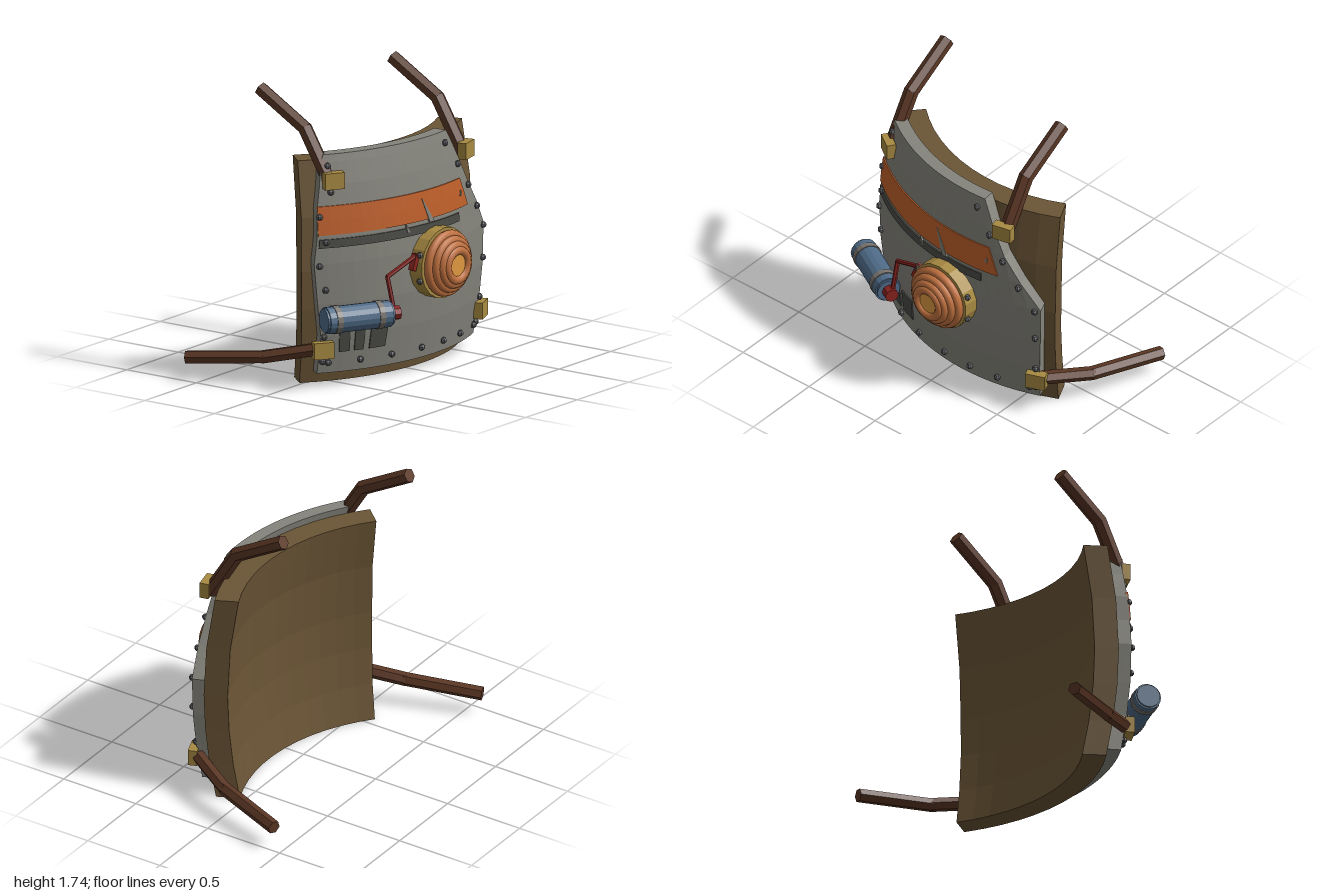
import * as THREE from 'three';

const V = (x, y, z) => new THREE.Vector3(x, y, z);
const paint = (color, side = THREE.FrontSide) =>
  new THREE.MeshStandardMaterial({ color, flatShading: true, side });
const MAT = {
  padding: paint(0x6b5536), plate: paint(0x85847c), stripe: paint(0xc0602a), dark: paint(0x4a4a46),
  strap: paint(0x5a3624), gold: paint(0xa88a42), copper: paint(0xc0713f), lens: paint(0xe09a40),
  blue: paint(0x4f6b88), band: paint(0x77726c), red: paint(0x8a2420), rivet: paint(0x55565a),
};
MAT.copper.flatShading = false;

// The breastplate wraps a vertical axis and bulges slightly at mid height.
const AXIS_X = 0.15, AXIS_Z = -0.94, PLATE = 0.08;
const radius = y => 1.29 - 0.072 * ((y - 0.68) / 0.68) ** 2;
const angleAt = (x, y, out) => Math.asin((x - AXIS_X) / (radius(y) + out));
const onShell = (a, y, out) =>
  V(AXIS_X + (radius(y) + out) * Math.sin(a), y, AXIS_Z + (radius(y) + out) * Math.cos(a));

// Curved slab from rows of [y, left x, right x], between two radial offsets.
function panel(rows, inner, outer, cols) {
  const pos = [];
  const point = (i, j, out) => {
    const [y, x0, x1] = rows[i];
    const a0 = angleAt(x0, y, outer), a1 = angleAt(x1, y, outer);
    return onShell(a0 + (a1 - a0) * j / cols, y, out);
  };
  const F = (i, j) => point(i, j, outer), B = (i, j) => point(i, j, inner);
  const quad = (a, b, c, d) => [a, b, c, a, c, d].forEach(p => pos.push(p.x, p.y, p.z));
  const last = rows.length - 1;
  for (let i = 0; i < last; i++) {
    for (let j = 0; j < cols; j++) {
      quad(F(i, j), F(i, j + 1), F(i + 1, j + 1), F(i + 1, j));
      quad(B(i, j + 1), B(i, j), B(i + 1, j), B(i + 1, j + 1));
    }
    quad(F(i, cols), B(i, cols), B(i + 1, cols), F(i + 1, cols));
    quad(B(i, 0), F(i, 0), F(i + 1, 0), B(i + 1, 0));
  }
  for (let j = 0; j < cols; j++) {
    quad(B(0, j), B(0, j + 1), F(0, j + 1), F(0, j));
    quad(F(last, j), F(last, j + 1), B(last, j + 1), B(last, j));
  }
  const geo = new THREE.BufferGeometry();
  geo.setAttribute('position', new THREE.Float32BufferAttribute(pos, 3));
  geo.computeVertexNormals();
  return geo;
}

// Faceted bar through a list of points.
function bar(points, r, sides, mat, name) {
  const group = new THREE.Group();
  group.name = name;
  for (let i = 0; i < points.length - 1; i++) {
    const dir = points[i + 1].clone().sub(points[i]);
    const mesh = new THREE.Mesh(new THREE.CylinderGeometry(r, r, dir.length() + r * 0.4, sides), mat);
    mesh.name = name + 'Segment';
    mesh.position.copy(points[i]).addScaledVector(dir, 0.5);
    mesh.quaternion.setFromUnitVectors(V(0, 1, 0), dir.normalize());
    group.add(mesh);
  }
  return group;
}

export function createModel() {
  const model = new THREE.Group();
  model.name = 'chestArmor';
  const add = (name, geo, mat, parent = model) => {
    const mesh = new THREE.Mesh(geo, mat);
    mesh.name = name;
    parent.add(mesh);
    return mesh;
  };
  const place = (mesh, x, y, out) => {
    const a = angleAt(x, y, out);
    mesh.position.copy(onShell(a, y, out));
    mesh.rotation.y = a;
    return mesh;
  };

  // Leather backing and metal plate
  add('padding', panel([[0, -0.647, 0.677], [0.22, -0.67, 0.69], [0.45, -0.69, 0.7], [0.68, -0.697, 0.707],
    [1, -0.685, 0.702], [1.33, -0.66, 0.69]], -0.14, 0, 12), MAT.padding);
  add('metalPlate', panel([[0.075, -0.645, 0.64], [0.3, -0.655, 0.66], [0.5, -0.685, 0.675], [0.74, -0.705, 0.68],
    [0.9, -0.685, 0.56], [1.05, -0.675, 0.45], [1.2, -0.645, 0.37], [1.33, -0.62, 0.305], [1.375, -0.6, 0.28]],
    0.002, PLATE, 18), MAT.plate);

  // Painted stripe, groove, worn patches and scratches
  const top = PLATE + 0.007;
  add('paintedStripe', panel([[0.91, -0.685, 0.42], [0.995, -0.682, 0.385], [1.08, -0.675, 0.35]], PLATE - 0.01, top, 16), MAT.stripe);
  add('darkGroove', panel([[0.835, -0.685, 0.31], [0.885, -0.68, 0.31]], PLATE - 0.01, top, 16), MAT.dark);
  [[-0.57, -0.5], [-0.48, -0.42], [-0.385, -0.285]].forEach(([a, b], i) =>
    add('wornPatch', panel([[0.2, a + 0.015 * (1 - i / 2), b], [0.355, a, b - 0.01 * (1 - i)]], PLATE - 0.01, top, 2), MAT.dark));
  [[0.89, 0.02, 0.06, 1.04, -0.035], [0.86, -0.16, -0.14, 0.91, -0.17], [0.98, 0.33, 0.35, 1.01, 0.34]]
    .forEach(([y0, a, b, y1, tip]) =>
      add('scratch', panel([[y0, a, b], [y1, tip, tip + 0.004]], PLATE - 0.01, top + 0.004, 1), MAT.plate));

  // Rivets around the rim
  const rivet = new THREE.SphereGeometry(0.02, 7, 5);
  [[-0.605, 0.14], [-0.43, 0.14], [-0.23, 0.14], [0, 0.14], [0.2, 0.14], [0.39, 0.14], [0.59, 0.14], [0.625, 0.15],
    [-0.635, 0.15], [-0.645, 0.3], [-0.655, 0.585], [-0.685, 0.73], [-0.65, 0.87], [-0.67, 1.02], [-0.6, 1.16],
    [-0.595, 1.31], [0.24, 1.31], [0.345, 1.165], [0.445, 1.02], [0.55, 0.87], [0.65, 0.73], [0.65, 0.535], [0.64, 0.3]]
    .forEach(([x, y]) => place(add('rivet', rivet, MAT.rivet), x, y, PLATE + 0.006));

  // Ringed lamp: gold base, stacked copper rings, glowing lens
  const lamp = new THREE.Group();
  lamp.name = 'lamp';
  place(lamp, 0.07, 0.65, PLATE);
  lamp.position.z = 0.42;
  model.add(lamp);
  const disc = (name, r, z, depth, mat, sides) => {
    const mesh = add(name, new THREE.CylinderGeometry(r, r, depth, sides), mat, lamp);
    mesh.rotation.x = Math.PI / 2;
    mesh.position.z = z;
  };
  disc('lampBase', 0.21, 0.03, 0.1, MAT.gold, 18);
  disc('lampCore', 0.12, 0.1, 0.12, MAT.copper, 24);
  [[0.17, 0.1], [0.142, 0.132], [0.114, 0.156], [0.088, 0.172]].forEach(([r, z]) => {
    add('lampRing', new THREE.TorusGeometry(r, 0.027, 10, 28), MAT.copper, lamp).position.z = z;
  });
  disc('lampCollar', 0.15, 0.1, 0.05, MAT.copper, 24);
  disc('lampLens', 0.078, 0.135, 0.09, MAT.lens, 24);
  for (let i = 0; i < 4; i++) {
    const a = Math.PI * (i < 2 ? 0.12 : 0.88) * (i % 2 ? -1 : 1);
    add('lampBolt', new THREE.SphereGeometry(0.019, 7, 5), MAT.rivet, lamp)
      .position.set(0.212 * Math.cos(a), 0.212 * Math.sin(a), 0.055);
  }

  // Buckles and straps
  [[-0.59, 1.23], [0.44, 1.23], [-0.655, 0.225], [0.65, 0.225]].forEach(([x, y]) =>
    place(add('buckle', new THREE.BoxGeometry(0.12, 0.098, 0.055), MAT.gold), x, y, PLATE + 0.022));
  [[-0.59, -0.19], [0.44, 0]].forEach(([x, dz]) =>
    model.add(bar([V(x, 1.21, 0.35 + dz), V(x, 1.51, 0.17 + dz), V(x, 1.695, -0.145 + dz)], 0.044, 6, MAT.strap, 'shoulderStrap')));
  model.add(bar([V(0.67, 0.225, 0.28), V(0.805, 0.165, 0.01), V(0.955, 0.13, -0.425)], 0.041, 6, MAT.strap, 'leftSideStrap'));
  model.add(bar([V(-0.665, 0.225, 0.11), V(-0.8, 0.165, -0.17), V(-0.958, 0.13, -0.595)], 0.041, 6, MAT.strap, 'rightSideStrap'));

  // Canister with bands
  const canister = new THREE.Group();
  canister.name = 'canister';
  canister.position.set(-0.56, 0.43, 0.332);
  canister.rotation.y = -0.506;
  model.add(canister);
  const drum = (name, r, x, length, mat, sides = 16) => {
    const mesh = add(name, new THREE.CylinderGeometry(r, r, length, sides), mat, canister);
    mesh.rotation.z = Math.PI / 2;
    mesh.position.x = x;
  };
  drum('canisterBody', 0.079, 0, 0.4, MAT.blue);
  drum('canisterCap', 0.07, 0, 0.424, MAT.blue);
  [-0.14, 0.13].forEach(x => drum('canisterBand', 0.084, x, 0.035, MAT.band));
  drum('valve', 0.042, 0.235, 0.06, MAT.red, 8);

  // Feed pipe from valve to lamp
  model.add(bar([V(-0.345, 0.43, 0.44), V(-0.345, 0.635, 0.39), V(-0.14, 0.73, 0.445), V(-0.17, 0.655, 0.44)],
    0.014, 6, MAT.red, 'feedPipe'));
  const fitting = add('pipeFitting', new THREE.BoxGeometry(0.032, 0.1, 0.035), MAT.red);
  fitting.position.set(-0.155, 0.69, 0.44);
  fitting.rotation.z = -0.38;
  return model;
}
